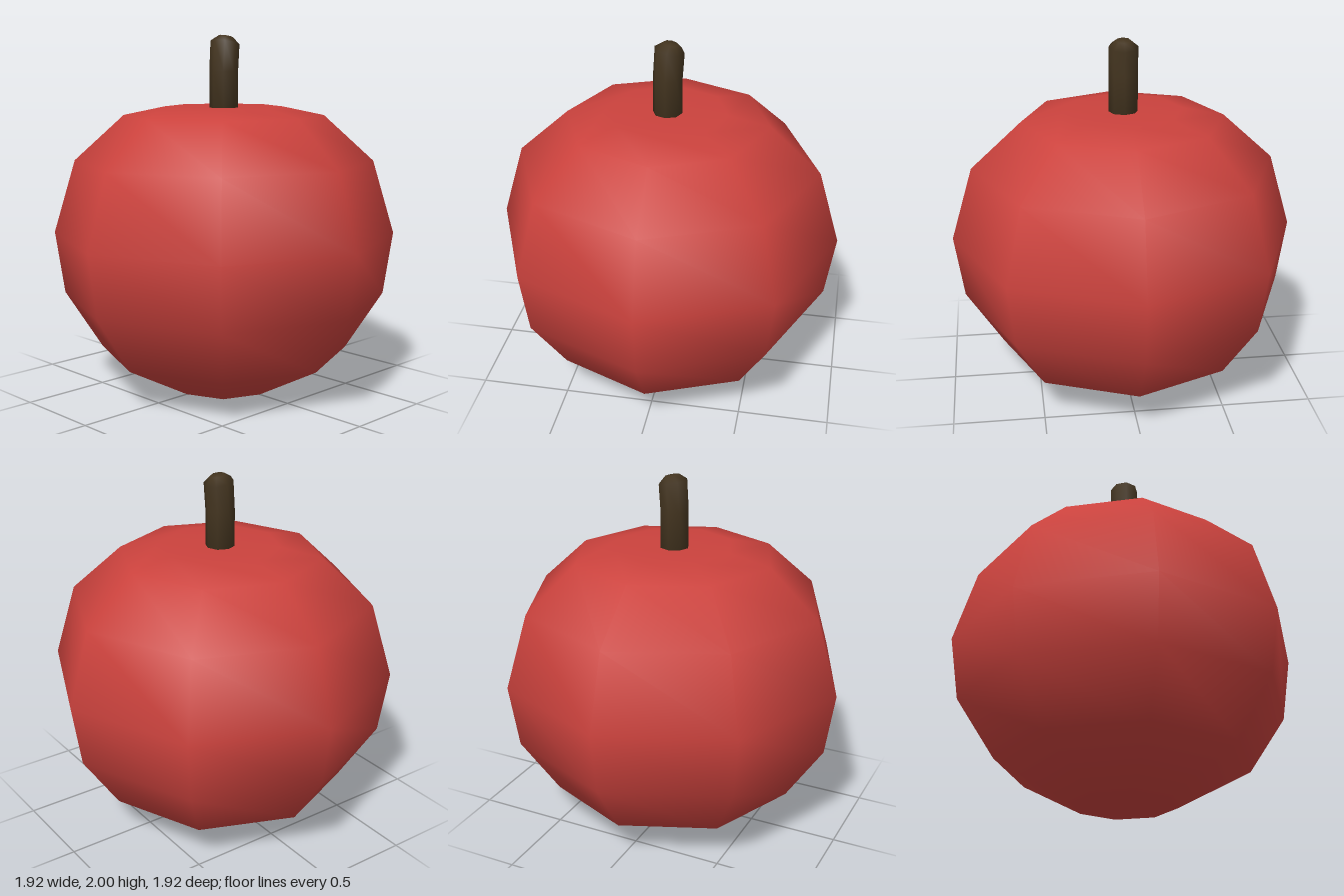
import * as THREE from 'three';

const SIDES = 8;

// Smooth-shaded eight-sided solid from a [radius, height] profile
function turned(profile) {
  return new THREE.LatheGeometry(profile.map(([r, y]) => new THREE.Vector2(r, y)), SIDES);
}

export function createModel() {
  const model = new THREE.Group();
  const red = new THREE.MeshStandardMaterial({ color: 0xcb423d });
  red.name = 'fruitRed';
  const brown = new THREE.MeshStandardMaterial({ color: 0x43341f });
  brown.name = 'stemBrown';

  // Fruit: squat round body with flat ends
  const fruit = new THREE.Mesh(turned([
    [0, 0], [0.29, 0], [0.7, 0.22], [0.91, 0.54], [0.962, 0.89],
    [0.84, 1.3], [0.56, 1.555], [0.33, 1.603], [0, 1.595],
  ]), red);
  fruit.name = 'fruit';
  model.add(fruit);

  // Stem: straight shaft with a blunt tip
  const geometry = turned([
    [0, 1.55], [0.08, 1.55], [0.08, 1.8], [0.081, 1.955], [0.04, 1.99], [0, 1.993],
  ]);
  // Lean the tip towards +x
  const position = geometry.attributes.position;
  const normal = geometry.attributes.normal;
  const axis = new THREE.Vector3(0, 0, 1);
  const p = new THREE.Vector3();
  const n = new THREE.Vector3();
  for (let i = 0; i < position.count; i++) {
    p.fromBufferAttribute(position, i);
    if (p.y < 1.9) continue;
    p.y -= 1.955;
    p.applyAxisAngle(axis, -0.19);
    position.setXYZ(i, p.x + 0.01, p.y + 1.955, p.z);
    n.fromBufferAttribute(normal, i).applyAxisAngle(axis, -0.19);
    normal.setXYZ(i, n.x, n.y, n.z);
  }
  const stem = new THREE.Mesh(geometry, brown);
  stem.name = 'stem';
  model.add(stem);

  return model;
}
